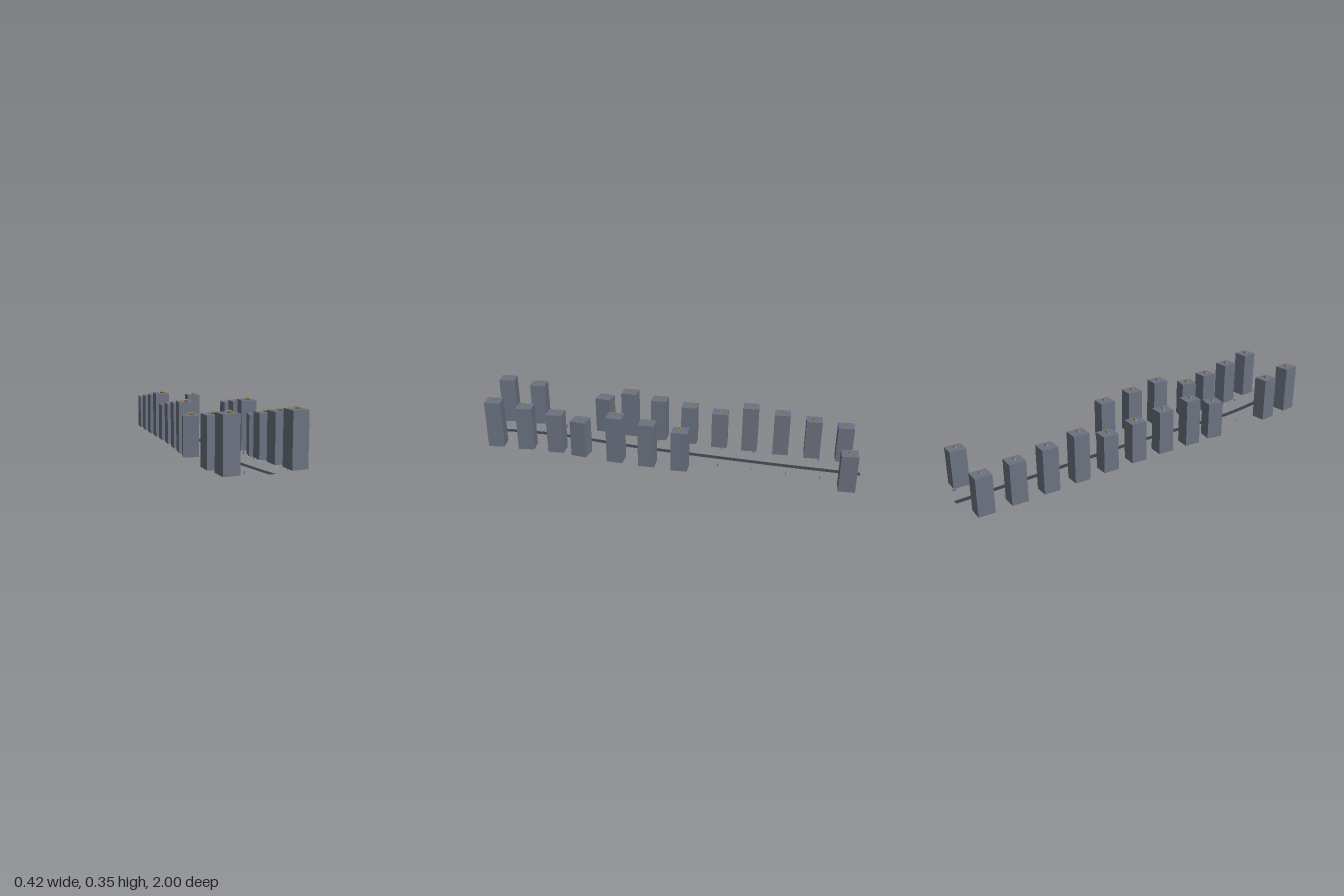
import * as THREE from 'three';

const mat = (name, color, side = THREE.FrontSide) => {
  const m = new THREE.MeshStandardMaterial({ color, side });
  m.name = name;
  return m;
};

// road centre line, sampled at equal steps of z from -1 to 1
const roadX = [0.016, 0.016, 0.016, 0.016, 0.015, 0.012, 0.003, -0.012, -0.023, -0.009, 0.016];
const roadY = [0, 0.008, 0.016, 0.026, 0.036, 0.046, 0.054, 0.064, 0.076, 0.088, 0.1];
const centreLine = new THREE.CatmullRomCurve3(
  roadX.map((x, i) => new THREE.Vector3(x, roadY[i], -1 + i * 0.2)), false, 'catmullrom', 0.5);

// point and heading of the road at a given z
function station(z) {
  const t = THREE.MathUtils.clamp((z + 1) / 2, 0, 1);
  const p = centreLine.getPoint(t);
  const d = centreLine.getTangent(t);
  return { p, angle: Math.atan2(d.x, d.z) };
}

// point beside the road at a sideways offset
function beside(z, offset) {
  const { p, angle } = station(z);
  return new THREE.Vector3(p.x + Math.cos(angle) * offset, p.y, z - Math.sin(angle) * offset);
}

// flat ribbon following the centre line
function roadGeometry(width, steps) {
  const pos = [], index = [];
  for (let i = 0; i <= steps; i++) {
    const z = -1 + (2 * i) / steps;
    const { p } = station(z);
    pos.push(p.x - width / 2, p.y, z, p.x + width / 2, p.y, z);
    if (i < steps) {
      const a = i * 2;
      index.push(a, a + 2, a + 1, a + 1, a + 2, a + 3);
    }
  }
  const g = new THREE.BufferGeometry();
  g.setAttribute('position', new THREE.Float32BufferAttribute(pos, 3));
  g.setIndex(index);
  g.computeVertexNormals();
  return g;
}

export function createModel() {
  const model = new THREE.Group();
  model.name = 'streetOfTowers';
  const concrete = mat('concreteGrey', 0x6b7280);
  const asphalt = mat('asphalt', 0x3a3f4a, THREE.DoubleSide);
  const ochre = mat('ochre', 0x9a7020);
  const paleMetal = mat('paleMetal', 0x9297aa);

  const add = (parent, name, geometry, material, x, y, z) => {
    const m = new THREE.Mesh(geometry, material);
    m.name = name;
    m.position.set(x, y, z);
    parent.add(m);
    return m;
  };

  add(model, 'road', roadGeometry(0.03, 60), asphalt, 0, 0, 0);

  // towers: [z, x and z of the right-hand (-x) one, x and z of the left-hand (+x) one]
  const heights = [0.195, 0.212, 0.23, 0.248];
  const rows = [
    [-0.92, [-0.138, -0.92], [0.175, -0.92]],
    [-0.754, [-0.138, -0.754], null],
    [-0.587, [-0.138, -0.587], null],
    [-0.42, [-0.138, -0.42], null],
    [-0.255, [-0.138, -0.257], null],
    [-0.088, [-0.14, -0.092], [0.169, -0.085]],
    [0.08, [-0.144, 0.073], [0.164, 0.085]],
    [0.245, [-0.154, 0.238], [0.158, 0.25]],
    [0.41, [-0.164, 0.383], [0.14, 0.44]],
    [0.571, null, [0.135, 0.571]],
    [0.743, [-0.164, 0.757], [0.145, 0.73]],
    [0.908, [-0.148, 0.926], [0.158, 0.889]],
  ];
  const angles = [0, 0, 0, 0, 0, -0.02, -0.035, -0.06, -0.18, 0, 0.085, 0.12];
  const tankGeo = new THREE.CylinderGeometry(0.006, 0.006, 0.016, 8).rotateZ(Math.PI / 2);
  const capGeo = new THREE.CylinderGeometry(0.0045, 0.0045, 0.022, 8).rotateZ(Math.PI / 2);
  const ventGeo = new THREE.BoxGeometry(0.004, 0.006, 0.006);

  rows.forEach(([z, ...pair], i) => {
    const h = heights[i % 4];
    const base = station(z).p.y - 0.001;
    pair.forEach((spot) => {
      if (!spot) return;
      const tower = new THREE.Group();
      tower.name = 'tower';
      tower.position.set(spot[0], base, spot[1]);
      tower.rotation.y = angles[i];
      add(tower, 'towerBlock', new THREE.BoxGeometry(0.075, h, 0.083), concrete, 0, h / 2, 0);
      // rooftop tank with end caps and a small vent
      add(tower, 'roofTank', tankGeo, ochre, 0.004, h + 0.006, 0);
      add(tower, 'tankCaps', capGeo, paleMetal, 0.004, h + 0.006, 0);
      add(tower, 'roofVent', ventGeo, paleMetal, -0.009, h + 0.003, 0);
      model.add(tower);
    });
  });

  // roadside cones, with thin posts between them
  const coneGeo = new THREE.ConeGeometry(0.005, 0.009, 6);
  const postGeo = new THREE.BoxGeometry(0.0015, 0.014, 0.0015);
  for (let k = 0; k < 11; k++) {
    for (const side of [-1, 1]) {
      const c = beside(-0.88 + k * 0.1737, side * 0.097);
      add(model, 'roadsideCone', coneGeo, paleMetal, c.x, c.y + 0.0045, c.z);
      const q = beside(-0.793 + k * 0.1737, side * 0.097);
      add(model, 'roadsidePost', postGeo, asphalt, q.x, q.y + 0.007, q.z);
    }
  }

  // small slab beside the last tower
  add(model, 'groundSlab', new THREE.BoxGeometry(0.02, 0.003, 0.02), concrete, 0.127, 0.003, -0.962);

  return model;
}
